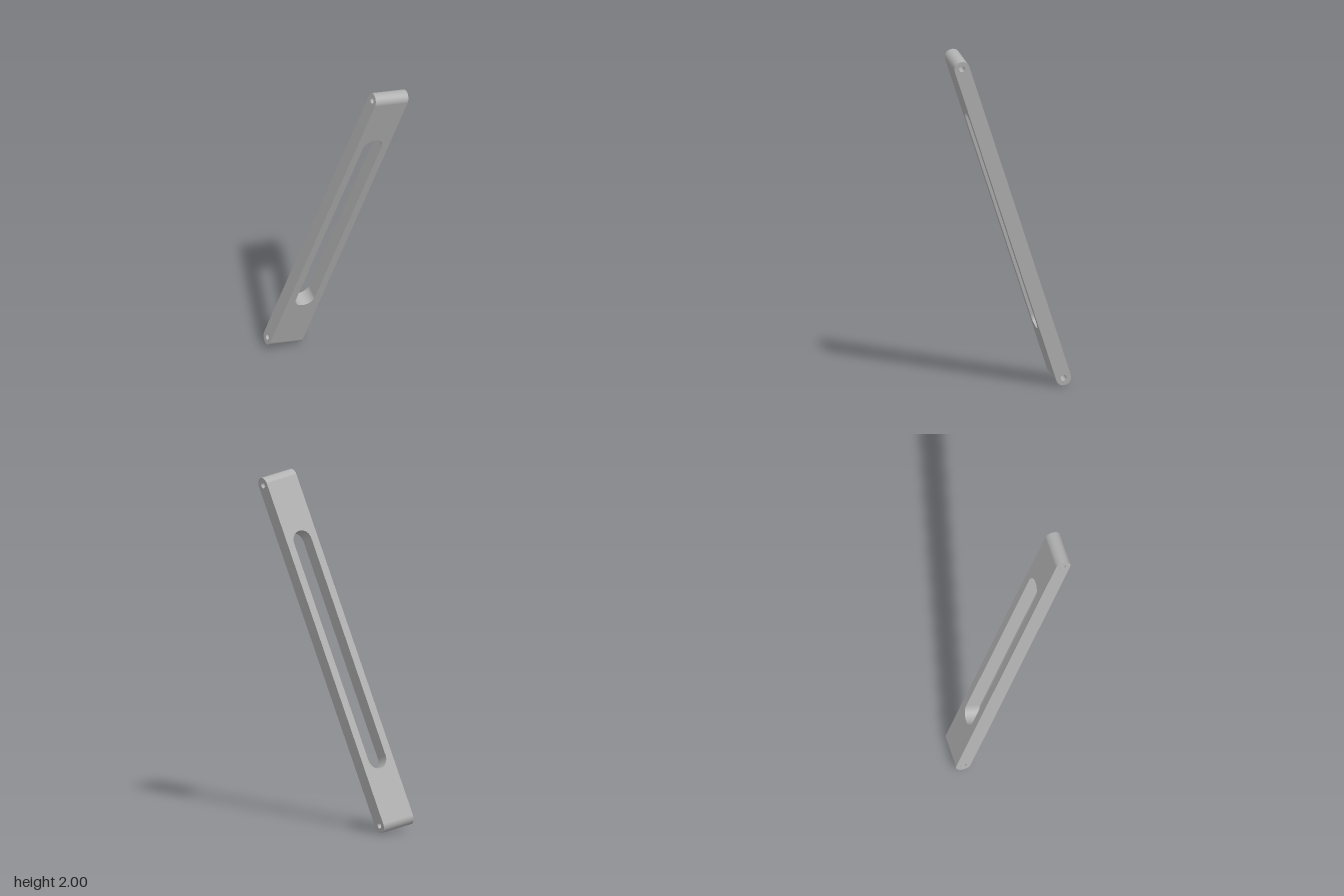
import * as THREE from 'three';

const W = 0.208;      // width
const R = 0.044;      // half thickness and end radius
const H = 1.0125;     // half distance between pin holes
const BORE = 0.0172;  // pin hole radius
const SR = 0.06;      // slot end radius
const SH = 0.646;     // half distance between slot end centres

// Outline with two straight sides and round ends
function stadium(path, r, h) {
  path.moveTo(r, -h);
  path.lineTo(r, h);
  path.absarc(0, h, r, 0, Math.PI, false);
  path.lineTo(-r, -h);
  path.absarc(0, -h, r, Math.PI, Math.PI * 2, false);
  return path;
}

export function createModel() {
  const model = new THREE.Group();
  model.name = 'slottedLink';
  const link = new THREE.Group();
  link.name = 'link';
  model.add(link);
  const metal = new THREE.MeshStandardMaterial({ color: 0xb0b0b0, side: THREE.DoubleSide });
  metal.name = 'grey metal';

  const add = (name, geometry, x = 0, y = 0, z = 0) => {
    const mesh = new THREE.Mesh(geometry, metal);
    mesh.name = name;
    mesh.position.set(x, y, z);
    link.add(mesh);
  };

  // Broad faces with the long slot cut out
  const broad = new THREE.Shape();
  broad.moveTo(-W / 2, -H);
  broad.lineTo(W / 2, -H);
  broad.lineTo(W / 2, H);
  broad.lineTo(-W / 2, H);
  broad.closePath();
  broad.holes.push(stadium(new THREE.Path(), SR, SH));
  add('frontFace', new THREE.ShapeGeometry(broad, 24), 0, 0, R);
  add('backFace', new THREE.ShapeGeometry(broad, 24).rotateY(Math.PI), 0, 0, -R);

  // Narrow sides with a pin hole at each end
  const side = stadium(new THREE.Shape(), R, H);
  for (const s of [-1, 1]) {
    side.holes.push(new THREE.Path().absarc(0, s * H, BORE, 0, Math.PI * 2, true));
  }
  for (const s of [-1, 1]) {
    const name = s > 0 ? 'left' : 'right';
    const end = s > 0 ? 'top' : 'bottom';
    add(name + 'Side', new THREE.ShapeGeometry(side, 24).rotateY(s * Math.PI / 2), s * W / 2);

    // Straight slot wall, facing inward
    add(name + 'SlotWall', new THREE.PlaneGeometry(2 * R, 2 * SH).rotateY(-s * Math.PI / 2), s * SR);

    // Curved slot end
    add(end + 'SlotEnd', new THREE.CylinderGeometry(SR, SR, 2 * R, 32, 1, true,
      s > 0 ? Math.PI / 2 : Math.PI * 1.5, Math.PI).rotateX(Math.PI / 2), 0, s * SH);

    // Rounded outer end and the pin bore through it
    add(end + 'RoundedEnd', new THREE.CylinderGeometry(R, R, W, 32, 1, true,
      s > 0 ? 0 : Math.PI, Math.PI).rotateZ(Math.PI / 2), 0, s * H);
    add(end + 'PinBore', new THREE.CylinderGeometry(BORE, BORE, W, 24, 1, true)
      .rotateZ(Math.PI / 2), 0, s * H);
  }

  // Lean the link along its length direction
  const along = new THREE.Vector3(0.30, 1.88, 0.69).normalize();
  const normal = new THREE.Vector3(0.985, -0.168, 0.024).cross(along).normalize();
  const across = along.clone().cross(normal);
  link.quaternion.setFromRotationMatrix(new THREE.Matrix4().makeBasis(across, along, normal));
  link.position.y = 1;
  return model;
}
